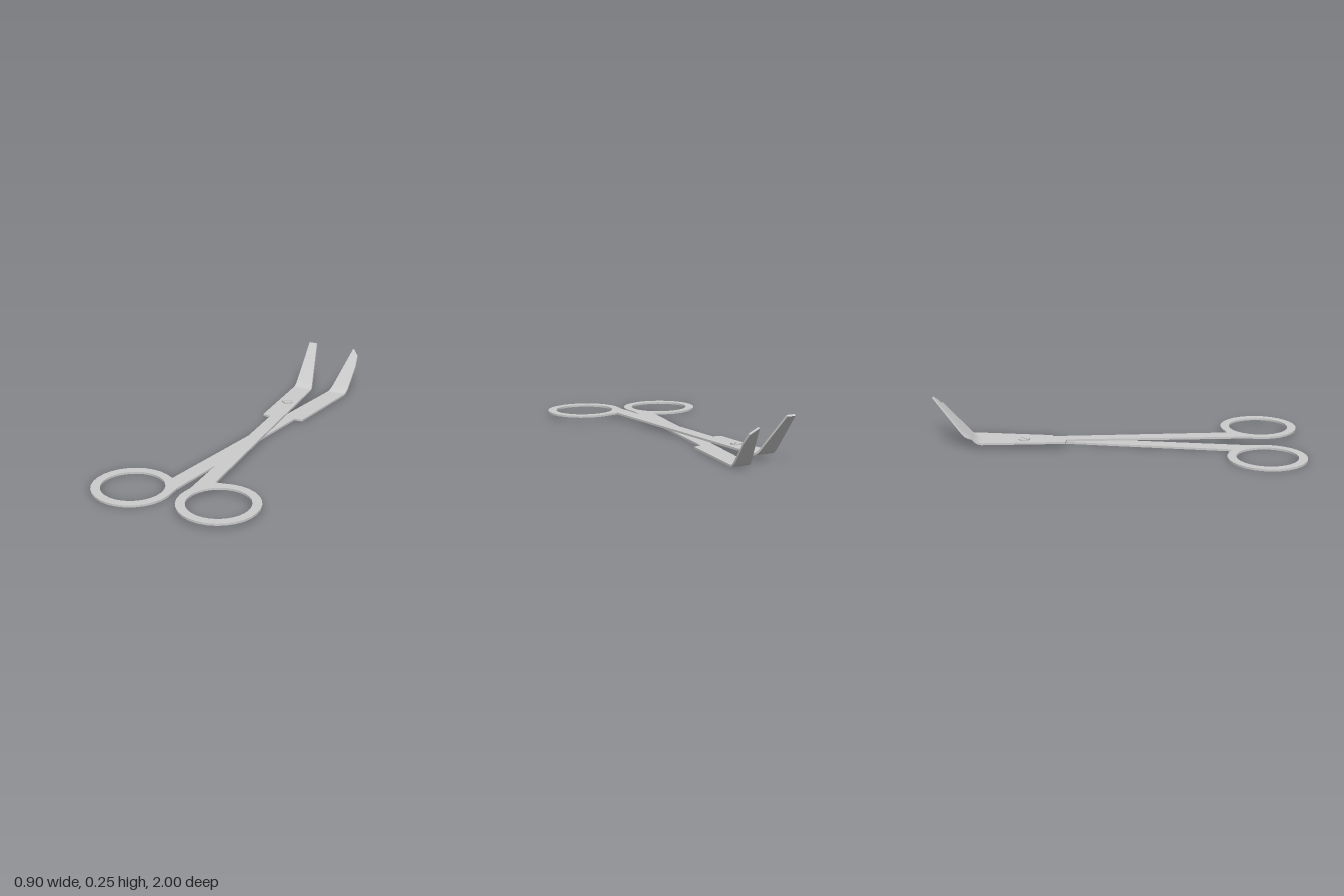
import * as THREE from 'three';
import { toCreasedNormals } from 'three/addons/utils/BufferGeometryUtils.js';

const material = new THREE.MeshStandardMaterial({ color: 0xcccccc });
const T = 0.011; // sheet thickness
const RING_OUT = 0.208, RING_IN = 0.161;

// x of an edge polyline [[x, z], ...] (z falling) at a given z
function edgeX(edge, z) {
  for (let i = 1; i < edge.length; i++) {
    const [xa, za] = edge[i - 1], [xb, zb] = edge[i];
    if (z >= zb - 1e-6) return xa + (xb - xa) * (z - za) / (zb - za);
  }
  return edge[edge.length - 1][0];
}

// flat sheet from a clockwise outline in (x, z), with an optional round hole
function sheet(points, depth, hole) {
  const shape = new THREE.Shape(points.map(([x, z]) => new THREE.Vector2(x, -z)));
  if (hole) {
    // wound against the outline, so that the inner wall faces the opening
    const path = new THREE.Path();
    path.absarc(hole[0], -hole[1], RING_IN, 0, Math.PI * 2, false);
    shape.holes.push(path);
  }
  const g = new THREE.ExtrudeGeometry(shape, { depth, bevelEnabled: false, curveSegments: 14 });
  return toCreasedNormals(g.rotateX(-Math.PI / 2), 0.5);
}

// finger ring and shank in one piece, up to the start of the bend
function handle({ left, right, ring, bend }) {
  const angle = ([x, z]) => Math.atan2(z - ring[1], x - ring[0]);
  const start = angle(right[0]);
  let sweep = angle(left[0]) - start;
  while (sweep < Math.PI) sweep += Math.PI * 2;
  const arc = [];
  const n = 26;
  for (let i = 1; i < n; i++) {
    const a = start + sweep * i / n;
    arc.push([ring[0] + RING_OUT * Math.cos(a), ring[1] + RING_OUT * Math.sin(a)]);
  }
  const flat = (edge) => [...edge.filter((p) => p[1] > bend + 0.001), [edgeX(edge, bend), bend]];
  return sheet([...arc, ...flat(left), ...flat(right).reverse()], T, ring);
}

// tip bent upwards, lofted between the two edges
function bentTip({ left, right, bend }) {
  const slope = 1.18, length = 0.054;
  const zs = new Set();
  for (let i = 0; i <= 6; i++) zs.add(bend - length * i / 6);
  for (const p of [...left, ...right]) if (p[1] < bend - length) zs.add(p[1]);
  const rows = [...zs].sort((a, b) => b - a).map((z) => {
    const d = bend - z;
    const y = d < length ? slope * d * d / (2 * length) : slope * (d - length / 2);
    const a = Math.atan(slope * Math.min(1, d / length));
    const xl = edgeX(left, z), xr = edgeX(right, z);
    const ty = y + T * Math.cos(a), tz = z + T * Math.sin(a);
    return { bl: [xl, y, z], br: [xr, y, z], tl: [xl, ty, tz], tr: [xr, ty, tz] };
  });
  const pos = [];
  const quad = (a, b, c, d) => pos.push(...a, ...b, ...c, ...a, ...c, ...d);
  for (let i = 1; i < rows.length; i++) {
    const p = rows[i - 1], q = rows[i];
    quad(p.tl, p.tr, q.tr, q.tl);
    quad(p.bl, q.bl, q.br, p.br);
    quad(p.br, q.br, q.tr, p.tr);
    quad(p.bl, p.tl, q.tl, q.bl);
  }
  const e = rows[rows.length - 1];
  quad(e.br, e.bl, e.tl, e.tr);
  const g = new THREE.BufferGeometry();
  g.setAttribute('position', new THREE.Float32BufferAttribute(pos, 3));
  return toCreasedNormals(g, 0.5);
}

function addMesh(parent, name, geometry) {
  const mesh = new THREE.Mesh(geometry, material);
  mesh.name = name;
  parent.add(mesh);
  return mesh;
}

function half(name, y, spec) {
  const group = new THREE.Group();
  group.name = name;
  group.position.y = y;
  addMesh(group, 'handle', handle(spec));
  addMesh(group, 'bentTip', bentTip(spec));
  return group;
}

// round head with a slot across it
function screw() {
  const group = new THREE.Group();
  group.name = 'screw';
  const r = 0.03, gap = 0.12;
  addMesh(group, 'screwBase', new THREE.CylinderGeometry(r, r, 0.004, 24)).position.y = 0.002;
  for (const side of [0, Math.PI]) {
    const points = [];
    for (let i = 0; i <= 12; i++) {
      const a = gap + (Math.PI - 2 * gap) * i / 12;
      points.push([r * Math.cos(a), r * Math.sin(a)]);
    }
    const m = addMesh(group, 'screwHeadHalf', sheet(points, 0.008));
    m.rotation.y = side;
  }
  group.rotation.y = Math.PI / 4;
  return group;
}

export function createModel() {
  const model = new THREE.Group();
  model.name = 'scissors';

  // edges run from the ring to the tip as [x, z]
  model.add(half('lowerHalf', 0, {
    ring: [-0.242, 0.782],
    bend: -0.79,
    left: [[-0.113, 0.615], [0.13, -0.82], [0.197, -1]],
    right: [[-0.037, 0.71], [0.12, -0.338], [0.164, -0.343], [0.233, -0.84],
      [0.24, -0.93], [0.234, -0.975], [0.2, -1]],
  }));
  model.add(half('upperHalf', 0.023, {
    ring: [0.242, 0.792],
    bend: -0.713,
    left: [[0.045, 0.71], [0.006, -0.262], [-0.04, -0.27], [-0.058, -0.72], [-0.051, -0.925]],
    right: [[0.124, 0.605], [0.046, -0.74], [-0.005, -0.925]],
  }));

  const head = screw();
  head.position.set(0.005, 0.034, -0.49);
  model.add(head);
  return model;
}
